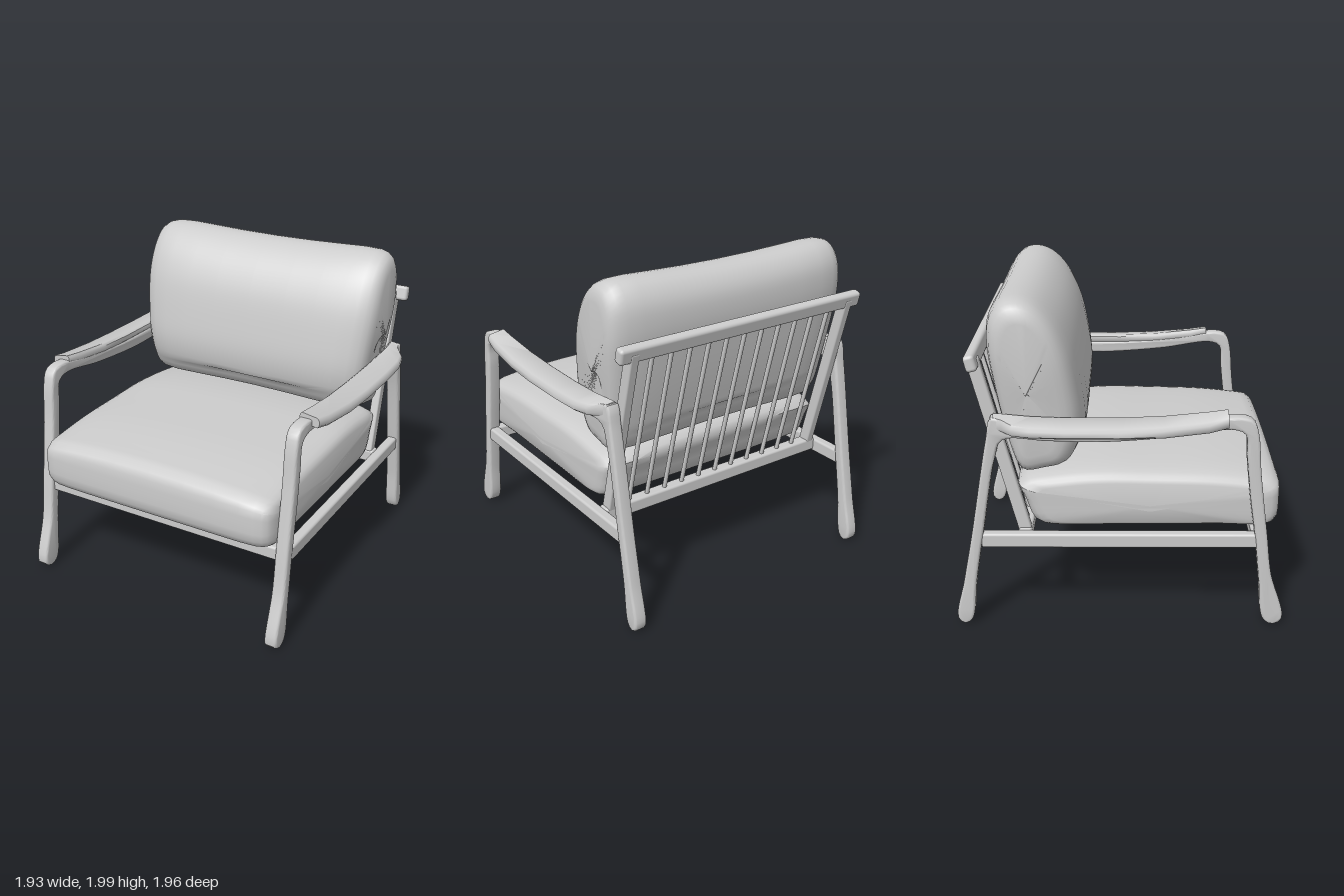
import * as THREE from 'three';
import { toCreasedNormals } from 'three/addons/utils/BufferGeometryUtils.js';
import { RoundedBoxGeometry } from 'three/addons/geometries/RoundedBoxGeometry.js';

// Smooth closed outline through a few points
function outline(points, count) {
  const curve = new THREE.CatmullRomCurve3(points.map(([a, b]) => new THREE.Vector3(a, b, 0)), true);
  return curve.getSpacedPoints(count).slice(0, count);
}

// Skin over a row of rings; rings run counter-clockwise seen from the far end
function loft(rings, capped) {
  const n = rings[0].length, index = [];
  for (let i = 0; i < rings.length - 1; i++) {
    for (let j = 0; j < n; j++) {
      const k = (j + 1) % n, a = i * n + j, b = i * n + k;
      index.push(a, b, a + n, b, b + n, a + n);
    }
  }
  if (capped) {
    const last = (rings.length - 1) * n;
    for (let j = 1; j < n - 1; j++) index.push(0, j + 1, j, last, last + j, last + j + 1);
  }
  const geo = new THREE.BufferGeometry();
  geo.setAttribute('position', new THREE.Float32BufferAttribute(rings.flat(2), 3));
  geo.setIndex(index);
  geo.computeVertexNormals();
  return geo;
}

// Cushion: a side profile [z, y] swept across x and rounded off at both ends
function cushion(profile, { cz, cy, nz, ny, width, sag }) {
  const half = [0.3, 0.55, 0.75, 0.87, 0.93, 0.965, 0.985, 0.996, 1];
  const stations = [...half.map((t) => -t).reverse(), 0, ...half];
  const pts = outline(profile, 72);
  const rings = stations.map((t) => {
    const fall = (n) => Math.pow(Math.max(0, 1 - Math.pow(Math.abs(t), n)), 1 / n);
    return pts.map((p) => {
      const y = cy + (p.y - cy) * fall(ny);
      return [t * width(p.y), y + sag(t, p.y), cz + (p.x - cz) * fall(nz)];
    });
  });
  return toCreasedNormals(loft(rings, false), 0.8);
}

export function createModel() {
  const group = new THREE.Group();
  const grey = new THREE.MeshStandardMaterial({ color: 0xcccccc });
  grey.name = 'light grey';
  const add = (name, geo) => {
    const mesh = new THREE.Mesh(geo, grey);
    mesh.name = name;
    group.add(mesh);
    return mesh;
  };
  const block = (name, w, h, d, x, y, z, r = 0.015) => {
    const mesh = add(name, new RoundedBoxGeometry(w, h, d, 2, r));
    mesh.position.set(x, y, z);
    return mesh;
  };

  // Seat cushion with a crowned top
  add('seatCushion', cushion([
    [0.2, 1.0], [0.55, 0.99], [0.8, 0.965], [0.91, 0.945], [0.94, 0.9], [0.95, 0.78], [0.94, 0.66], [0.9, 0.622],
    [0.6, 0.62], [0, 0.615], [-0.45, 0.62], [-0.51, 0.65], [-0.56, 0.78], [-0.6, 0.89], [-0.57, 0.94], [-0.35, 0.985], [-0.1, 1.005],
  ], {
    cz: 0.18, cy: 0.76, nz: 18, ny: 10,
    width: () => 0.805,
    sag: (t, y) => (y > 0.9 ? -0.035 * t * t : 0),
  }));

  // Back cushion, leaning and thicker at the bottom
  add('backCushion', cushion([
    [-0.57, 2.0], [-0.47, 1.97], [-0.36, 1.87], [-0.27, 1.7], [-0.21, 1.45], [-0.19, 1.25], [-0.22, 1.1], [-0.29, 0.99],
    [-0.42, 0.955], [-0.56, 0.94], [-0.61, 1.0], [-0.67, 1.2], [-0.73, 1.5], [-0.76, 1.74], [-0.74, 1.89], [-0.67, 1.98],
  ], {
    cz: -0.52, cy: 1.46, nz: 6, ny: 11,
    width: (y) => 0.805 + 0.045 * THREE.MathUtils.smoothstep(y, 1.0, 1.8),
    sag: (t, y) => THREE.MathUtils.smoothstep(y, 1.6, 2.0) * (0.035 * t * t - 0.028)
      + (y < 1.1 ? 0.03 * (1 - t * t) : 0),
  }));

  // Side frames: splayed legs flowing into the arm
  const frameShape = new THREE.Shape(outline([
    [0.98, 0.04], [0.9, 0.35], [0.865, 0.6], [0.81, 1.0], [0.785, 1.24], [0.755, 1.32], [0.68, 1.345],
    [0.4, 1.31], [0, 1.275], [-0.4, 1.285], [-0.65, 1.325], [-0.72, 1.34], [-0.755, 1.2], [-0.865, 0.6],
    [-0.925, 0.3], [-0.975, 0.04], [-0.935, 0.003], [-0.89, 0.03], [-0.85, 0.3], [-0.795, 0.62], [-0.705, 1.1],
    [-0.66, 1.205], [-0.4, 1.2], [-0.1, 1.195], [0.3, 1.225], [0.64, 1.27], [0.71, 1.24], [0.725, 1.1],
    [0.755, 0.85], [0.8, 0.55], [0.83, 0.3], [0.865, 0.04], [0.92, 0.003],
  ], 260).map((p) => new THREE.Vector2(p.x, p.y)));
  const frameGeo = new THREE.ExtrudeGeometry(frameShape, {
    depth: 0.05, bevelSize: 0.015, bevelThickness: 0.015, bevelOffset: -0.015, bevelSegments: 3,
  });
  frameGeo.rotateY(-Math.PI / 2);
  frameGeo.translate(0.025, 0, 0);

  // Arm pads: [z, inner x, outer x, inner top y, outer top y, thickness]
  const padSections = [
    [0.61, 0.805, 0.925, 1.375, 1.355, 0.06], [0.5, 0.803, 0.94, 1.36, 1.335, 0.065],
    [0.25, 0.802, 0.957, 1.335, 1.31, 0.065], [0, 0.802, 0.965, 1.325, 1.3, 0.06],
    [-0.3, 0.805, 0.965, 1.325, 1.3, 0.06], [-0.5, 0.81, 0.96, 1.335, 1.305, 0.06],
    [-0.6, 0.815, 0.94, 1.345, 1.315, 0.065], [-0.66, 0.82, 0.89, 1.35, 1.33, 0.07],
    [-0.71, 0.815, 0.875, 1.35, 1.34, 0.08],
  ].reverse();
  const corners = [[0, 0.25], [0.1, 0], [0.9, 0], [1, 0.25], [1, 0.75], [0.9, 1], [0.1, 1], [0, 0.75]];

  for (const s of [1, -1]) {
    const side = s > 0 ? 'left' : 'right';
    add(side + 'SideFrame', toCreasedNormals(frameGeo, 0.6)).position.x = s * 0.842;
    block(side + 'SideRail', 0.065, 0.09, 1.64, s * 0.842, 0.565, 0.01);

    const rings = padSections.map(([z, xi, xo, yi, yo, th]) => {
      // the corner list runs down the pad, so it is reversed on the +x side
      const ring = corners.map(([u, v]) => [
        s * (xi + (xo - xi) * u), yi + (yo - yi) * u - th * v, z,
      ]);
      return s > 0 ? ring.reverse() : ring;
    });
    add(side + 'ArmPad', toCreasedNormals(loft(rings, true), 0.9));
  }

  // Seat rails
  block('frontSeatRail', 1.64, 0.085, 0.07, 0, 0.57, 0.81);
  block('rearSeatRail', 1.64, 0.085, 0.08, 0, 0.575, -0.555);

  // Reclined back: posts and slats follow one sloping line
  const low = new THREE.Vector2(-0.555, 0.6), high = new THREE.Vector2(-0.82, 1.66);
  const length = low.distanceTo(high), lean = Math.atan2(high.x - low.x, high.y - low.y);
  const upright = (name, x, w, d) => {
    const mesh = block(name, w, length, d, x, (low.y + high.y) / 2, (low.x + high.x) / 2, 0.01);
    mesh.rotation.x = lean;
  };
  upright('leftBackPost', 0.775, 0.055, 0.075);
  upright('rightBackPost', -0.775, 0.055, 0.075);
  const slats = 11;
  for (let i = 0; i < slats; i++) {
    upright('backSlat', -0.64 + (1.28 * i) / (slats - 1), 0.024, 0.026);
  }
  block('backTopRail', 1.74, 0.095, 0.065, 0, 1.65, -0.82, 0.02).rotation.x = lean;

  return group;
}
